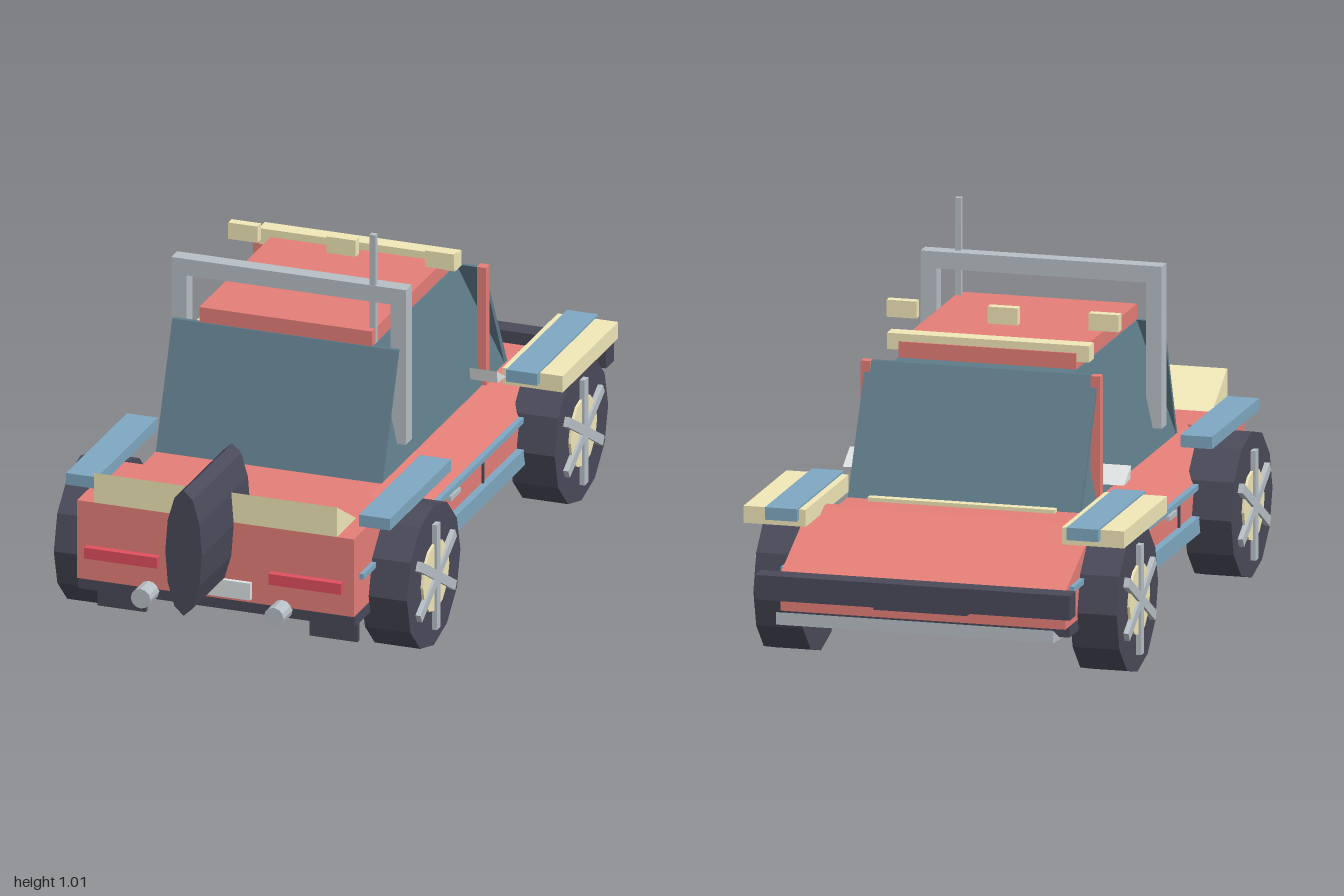
import * as THREE from 'three';

const mat = (color) => new THREE.MeshStandardMaterial({ color, flatShading: true, side: THREE.DoubleSide });

export function createModel() {
  const car = new THREE.Group();
  car.name = 'offRoadTruck';
  const red = mat(0xe57f78), glass = mat(0x607d8b), dark = mat(0x4a4a5a), cream = mat(0xf2e8b8);
  const blue = mat(0x7fa9c2), grey = mat(0xb8c0c6), lamp = mat(0xe0505f), white = mat(0xdfe3e3);

  const add = (name, geo, material, parent = car) => {
    const mesh = new THREE.Mesh(geo, material);
    mesh.name = name;
    parent.add(mesh);
    return mesh;
  };
  // Box given by its limits on each axis
  const box = (name, m, x0, x1, y0, y1, z0, z1, parent = car) => {
    const mesh = add(name, new THREE.BoxGeometry(x1 - x0, y1 - y0, z1 - z0), m, parent);
    mesh.position.set((x0 + x1) / 2, (y0 + y1) / 2, (z0 + z1) / 2);
    return mesh;
  };
  // The same box on the left and the right
  const pair = (name, m, x0, x1, ...yz) => {
    box(name + 'Left', m, x0, x1, ...yz);
    box(name + 'Right', m, -x1, -x0, ...yz);
  };
  const extrude = (pts, depth) => new THREE.ExtrudeGeometry(
    new THREE.Shape(pts.map((p) => new THREE.Vector2(...p))), { depth, bevelEnabled: false });
  // Side profile of [z, y] points, swept across x
  const prism = (name, m, pts, width, x = 0) => {
    const geo = extrude(pts, width).translate(0, 0, -width / 2).rotateY(-Math.PI / 2);
    add(name, geo, m).position.x = x;
  };

  // Body: lower tub, rear deck, sloping hood and door section leaning inward
  box('lowerBody', red, -0.38, 0.38, 0.175, 0.275, -0.9, 0.77);
  box('rearDeck', red, -0.38, 0.38, 0.275, 0.39, 0.48, 0.77);
  prism('hood', red, [[-0.6, 0.275], [-0.9, 0.275], [-0.63, 0.39], [-0.6, 0.39]], 0.76);
  add('doorSection', extrude([[-0.38, 0.275], [0.38, 0.275], [0.31, 0.39], [-0.31, 0.39]], 1.08), red)
    .position.z = -0.6;
  box('underbody', dark, -0.38, 0.38, 0.145, 0.175, -0.86, 0.765);
  pair('sideSill', blue, 0.36, 0.4, 0.155, 0.2, -0.42, 0.3);
  pair('sideTrim', blue, 0.37, 0.392, 0.265, 0.28, -0.86, 0.73);
  for (const z of [0.15, -0.155]) pair('doorGap', dark, 0.37, 0.385, 0.2, 0.265, z - 0.005, z + 0.005);
  pair('doorHandle', grey, 0.37, 0.392, 0.245, 0.258, 0.03, 0.1);

  // Cabin: side windows leaning inward between full-width front and rear panes
  const cabin = extrude([[-0.5, 0.39], [0.38, 0.39], [0.262, 0.712], [-0.34, 0.712]], 2)
    .translate(0, 0, -1).rotateY(-Math.PI / 2);
  const p = cabin.attributes.position;
  for (let i = 0; i < p.count; i++) p.setX(i, Math.sign(p.getX(i)) * (p.getY(i) > 0.5 ? 0.24 : 0.31));
  cabin.computeVertexNormals();
  add('sideWindows', cabin, glass);
  prism('windshield', glass, [[-0.52, 0.39], [-0.5, 0.39], [-0.34, 0.714], [-0.352, 0.714]], 0.62);
  prism('rearWindow', glass, [[0.375, 0.39], [0.387, 0.39], [0.268, 0.714], [0.256, 0.714]], 0.62);
  box('roof', red, -0.237, 0.237, 0.713, 0.755, -0.3, 0.265);
  pair('pillar', red, 0.295, 0.32, 0.39, 0.715, -0.367, -0.34);
  box('windshieldCowl', cream, -0.25, 0.25, 0.385, 0.4, -0.547, -0.522);

  // Roof lights, roll bar and aerial
  box('lightBar', cream, -0.27, 0.27, 0.732, 0.775, -0.295, -0.25);
  for (const x of [-0.27, 0, 0.27]) box('roofLight', cream, x - 0.04, x + 0.04, 0.783, 0.828, -0.16, -0.135);
  pair('rollBarPost', grey, 0.28, 0.322, 0.445, 0.83, 0.2, 0.243);
  box('rollBarTop', grey, -0.322, 0.322, 0.828, 0.873, 0.2, 0.243);
  box('aerial', grey, 0.222, 0.238, 0.7, 1.012, 0.226, 0.242);

  // Fenders and mirrors
  pair('rearFender', blue, 0.36, 0.445, 0.39, 0.422, 0.24, 0.68);
  pair('frontFender', blue, 0.36, 0.445, 0.392, 0.425, -0.82, -0.38);
  pair('fenderFlare', cream, 0.342, 0.508, 0.375, 0.42, -0.8, -0.4);
  for (const s of [-1, 1]) {
    prism('mirror', white, [[-0.272, 0.462], [-0.278, 0.428], [-0.338, 0.424]], 0.075, s * 0.338);
  }

  // Tail: raised box, spare wheel, lights, plate, exhausts and mud flaps
  prism('tailWedge', cream, [[0.63, 0.39], [0.77, 0.39], [0.77, 0.472]], 0.667);
  const spare = add('spareWheel', new THREE.CylinderGeometry(0.173, 0.173, 0.35, 12).rotateX(Math.PI / 2), dark);
  spare.scale.x = 0.29;
  spare.position.set(0, 0.384, 0.825);
  pair('tailLight', lamp, 0.153, 0.353, 0.24, 0.27, 0.76, 0.79);
  box('plate', white, -0.1, 0.1, 0.185, 0.232, 0.765, 0.782);
  for (const x of [-0.183, 0.183]) {
    add('exhaust', new THREE.CylinderGeometry(0.027, 0.027, 0.08, 12).rotateX(Math.PI / 2), grey)
      .position.set(x, 0.168, 0.79);
  }
  pair('mudFlap', dark, 0.225, 0.357, 0.07, 0.15, 0.67, 0.684);

  // Nose: bumper, skid plate, grille and headlights
  box('frontBumper', dark, -0.42, 0.42, 0.225, 0.29, -1, -0.943);
  prism('skidPlate', grey, [[-0.905, 0.152], [-0.978, 0.157], [-0.978, 0.19]], 0.74);
  box('grille', dark, -0.125, 0.125, 0.2, 0.25, -0.925, -0.89);
  pair('headlight', cream, 0.17, 0.34, 0.22, 0.26, -0.915, -0.89);

  // Wheels: twelve-sided tyre, hub disc and three crossing spoke bars
  for (const side of [-1, 1]) {
    for (const z of [0.47, -0.595]) {
      const wheel = new THREE.Group();
      wheel.name = 'wheel';
      const disc = (name, r, x0, x1, m) => add(name,
        new THREE.CylinderGeometry(r, r, x1 - x0, 12).rotateZ(Math.PI / 2), m, wheel)
        .position.x = side * (x0 + x1) / 2;
      disc('tyre', 0.193, 0.36, 0.485, dark);
      disc('hub', 0.095, 0.46, 0.492, cream);
      for (let i = 0; i < 3; i++) {
        const bar = add('spoke', new THREE.BoxGeometry(0.014, 0.29, 0.026), grey, wheel);
        bar.position.x = side * 0.492;
        bar.rotation.x = i * Math.PI / 3;
      }
      wheel.position.set(0, 0.193, z);
      car.add(wheel);
    }
  }
  return car;
}
